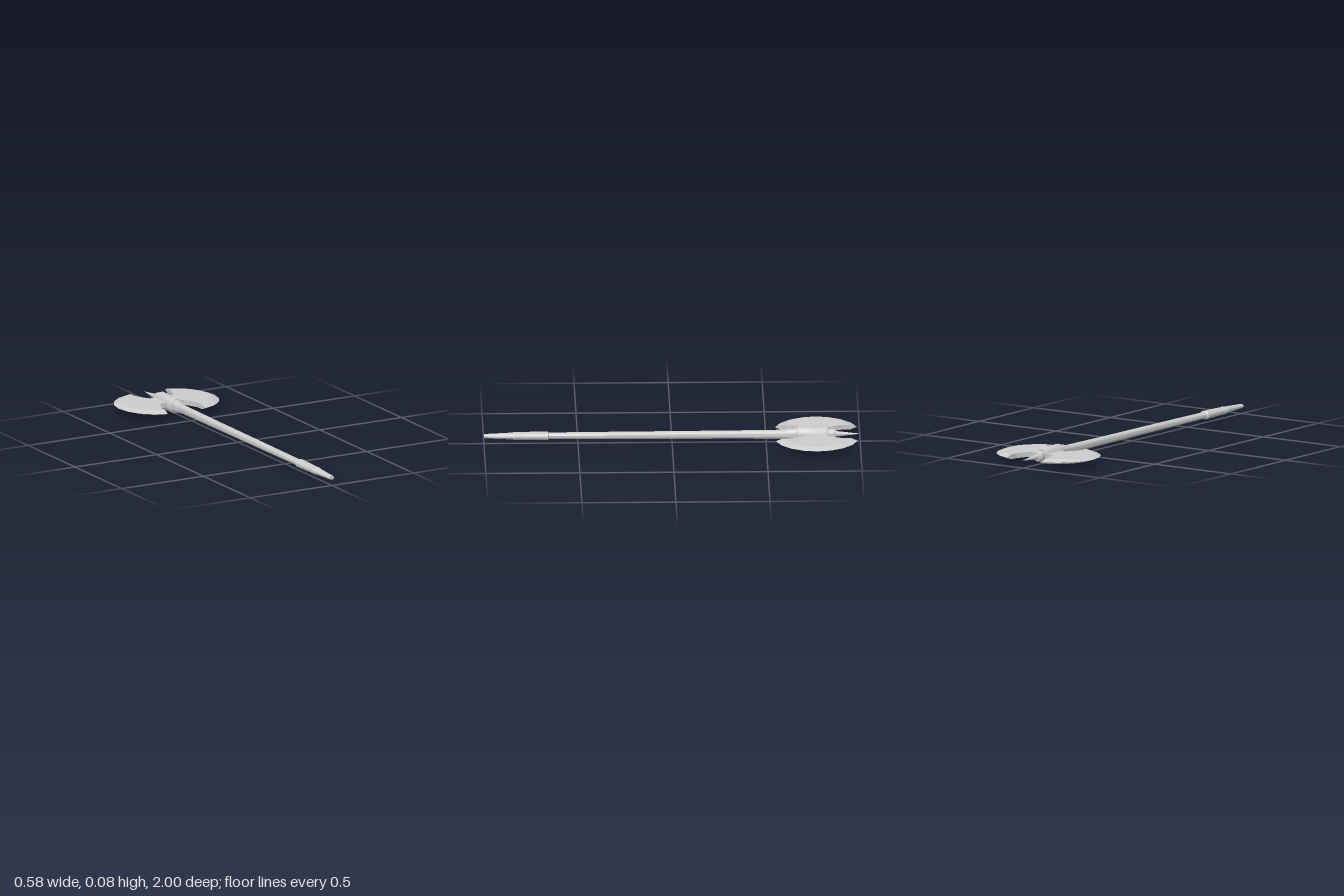
import * as THREE from 'three';
import { toCreasedNormals } from 'three/addons/utils/BufferGeometryUtils.js';

const material = new THREE.MeshStandardMaterial({ color: 0xcccccc });

// Skins a row of closed cross-sections (ordered from +z to -z) and caps both ends.
function loft(sections, crease) {
  const pos = [];
  const ab = new THREE.Vector3(), ac = new THREE.Vector3();
  const tri = (a, b, c) => {
    const area = ab.subVectors(b, a).cross(ac.subVectors(c, a)).length();
    if (area > 1e-9) pos.push(...a, ...b, ...c);
  };
  const n = sections[0].length;
  for (let i = 0; i < sections.length - 1; i++) {
    const s = sections[i], t = sections[i + 1];
    for (let j = 0; j < n; j++) {
      const k = (j + 1) % n;
      tri(s[j], t[j], s[k]);
      tri(s[k], t[j], t[k]);
    }
  }
  const first = sections[0], last = sections[sections.length - 1];
  for (let j = 1; j < n - 1; j++) {
    tri(first[0], first[j], first[j + 1]);
    tri(last[0], last[j + 1], last[j]);
  }
  const g = new THREE.BufferGeometry();
  g.setAttribute('position', new THREE.Float32BufferAttribute(pos, 3));
  return toCreasedNormals(g, crease);
}

// Turned part along z; each row is [z, x radius, y radius].
function turned(rows, sides = 12) {
  return loft(rows.map(([z, rx, ry]) => Array.from({ length: sides }, (_, j) => {
    const a = ((j + 0.5) / sides) * Math.PI * 2;
    return new THREE.Vector3(rx * Math.cos(a), ry * Math.sin(a), z);
  })), 0.6);
}

// Crescent blade on the +x side, with a bevelled cutting edge.
function bladeGeometry() {
  const half = 0.013, radius = 0.223, cx = 0.068, bevel = 0.036;
  // [arc angle in degrees, inner x, inner z]
  const stations = [
    [77.5, 0.113, 0.185], [58, 0.11, 0.14], [38, 0.091, 0.095],
    [19, 0.069, 0.058], [19, 0.02, 0.058], [0, 0.02, 0],
  ];
  const mirrored = stations.slice(0, -1).reverse().map(([a, x, z]) => [-a, x, -z]);
  const sections = [...stations, ...mirrored].map(([deg, ix, iz]) => {
    const a = THREE.MathUtils.degToRad(deg);
    const arc = (r) => [cx + r * Math.cos(a), r * Math.sin(a)];
    const [ex, ez] = arc(radius);
    const [bx, bz] = Math.abs(deg) > 70 ? [ix, iz] : arc(radius - bevel);
    return [
      new THREE.Vector3(ex, 0, ez),
      new THREE.Vector3(bx, half, bz),
      new THREE.Vector3(ix, half, iz),
      new THREE.Vector3(ix, -half, iz),
      new THREE.Vector3(bx, -half, bz),
    ];
  });
  return loft(sections, 0.15);
}

export function createModel() {
  const model = new THREE.Group();
  model.name = 'doubleAxe';
  const axe = new THREE.Group();
  axe.name = 'axe';
  axe.position.y = 0.045;
  model.add(axe);

  const add = (name, geometry) => {
    const mesh = new THREE.Mesh(geometry, material);
    mesh.name = name;
    axe.add(mesh);
    return mesh;
  };

  // Handle: tapered grip, ring, then the long shaft
  add('grip', turned([
    [1, 0.015, 0.01], [0.985, 0.017, 0.012], [0.85, 0.024, 0.018],
    [0.84, 0.028, 0.021], [0.825, 0.028, 0.021], [0.815, 0.025, 0.02],
    [0.74, 0.029, 0.022], [0.66, 0.03, 0.023], [0.655, 0.023, 0.017],
  ]));
  add('shaft', turned([[0.68, 0.022, 0.017], [0.35, 0.022, 0.019], [-0.3, 0.022, 0.022], [-0.65, 0.023, 0.025]]));

  // Head: flared collar, thick sleeve, neck ring and spike
  add('collar', turned([[-0.605, 0.024, 0.026], [-0.625, 0.029, 0.03], [-0.665, 0.031, 0.035], [-0.68, 0.031, 0.035]]));
  add('sleeve', turned([
    [-0.665, 0.033, 0.038], [-0.675, 0.038, 0.043], [-0.82, 0.038, 0.043], [-0.83, 0.033, 0.038],
  ]));
  add('neckRing', turned([
    [-0.825, 0.024, 0.026], [-0.84, 0.024, 0.026], [-0.845, 0.027, 0.03],
    [-0.86, 0.027, 0.03], [-0.872, 0.02, 0.022],
  ]));
  add('spike', turned([[-0.865, 0.016, 0.016], [-0.92, 0.01, 0.01], [-1, 0.0008, 0.0008]]));

  // Two opposed blades
  const geometry = bladeGeometry();
  ['leftBlade', 'rightBlade'].forEach((name, i) => {
    const blade = add(name, geometry);
    blade.position.z = -0.767;
    blade.rotation.z = i * Math.PI;
  });
  return model;
}
